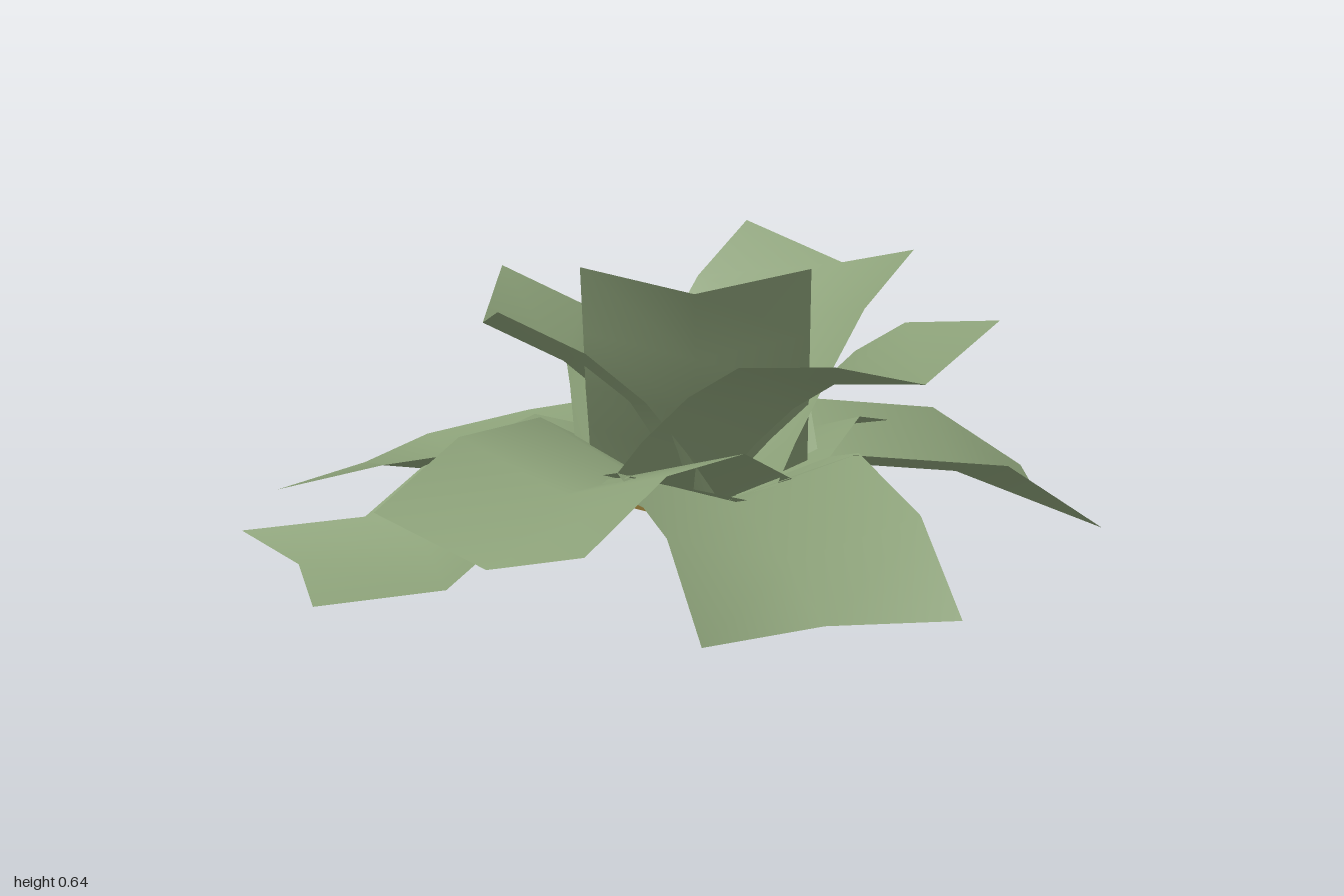
import * as THREE from 'three';

const leafGreen = new THREE.MeshStandardMaterial({ name: 'leafGreen', color: 0x8ba078, side: THREE.DoubleSide });
const stemBrown = new THREE.MeshStandardMaterial({ name: 'stemBrown', color: 0x80692f, side: THREE.DoubleSide });
const budYellow = new THREE.MeshStandardMaterial({ name: 'budYellow', color: 0xa89a58 });

const FOLD = 0.09; // how deep the rib lies below the leaf edges
const HALF_WIDTH = 0.28;
const GROUND = 0.006;

// Shared starts of the edge curves, as (distance from stem, height)
const BASE = [-0.04, 0.11];
const LOW = [BASE, [0.29, 0.21]];
const UPRIGHT = [BASE, [0.04, 0.23], [0.13, 0.345]];

// Builds one leaf: a strip swept along its edge curve, folded along the rib
function makeLeaf(name, degrees, half, path) {
  const geometry = new THREE.PlaneGeometry(1, 1, 2, path.length - 1);
  const pos = geometry.attributes.position;
  path.forEach(([r, y], row) => {
    const before = path[Math.max(row - 1, 0)];
    const after = path[Math.min(row + 1, path.length - 1)];
    const slope = Math.atan2(after[1] - before[1], after[0] - before[0]);
    pos.setXYZ(row * 3, -half, y, r);
    pos.setXYZ(row * 3 + 1, 0, y - FOLD * Math.cos(slope), r + FOLD * Math.sin(slope));
    pos.setXYZ(row * 3 + 2, half, y, r);
  });
  geometry.computeVertexNormals();
  // parts that would sink into the ground lie flat on it
  for (let i = 0; i < pos.count; i++) pos.setY(i, Math.max(pos.getY(i), GROUND));
  const leaf = new THREE.Mesh(geometry, leafGreen);
  leaf.name = name;
  leaf.rotation.y = THREE.MathUtils.degToRad(degrees);
  return leaf;
}

// Narrow root strip whose ends bend slightly upward
function makeRoot(angle) {
  const geometry = new THREE.PlaneGeometry(0.42, 0.06, 4, 1).rotateX(-Math.PI / 2);
  const pos = geometry.attributes.position;
  for (let i = 0; i < pos.count; i++) {
    pos.setY(i, 0.004 + Math.max(0, Math.abs(pos.getX(i)) - 0.03) * 0.22);
  }
  geometry.computeVertexNormals();
  const root = new THREE.Mesh(geometry, stemBrown);
  root.name = 'rootStrip';
  root.rotation.y = angle;
  return root;
}

export function createModel() {
  const model = new THREE.Group();
  model.name = 'leafyPlant';
  const plant = new THREE.Group();
  plant.name = 'rosette';
  plant.position.set(0.07, 0, -0.015);
  model.add(plant);

  // spreading lower ring
  const drooping = [...LOW, [0.65, 0.165], [0.88, 0]];
  plant.add(makeLeaf('lowerBackRightLeaf', 138, HALF_WIDTH, drooping));
  plant.add(makeLeaf('lowerFrontRightLeaf', 53.4, HALF_WIDTH, drooping));
  plant.add(makeLeaf('lowerFrontLeftLeaf', -31.3, 0.3, [...LOW, [0.57, 0.11], [0.71, 0], [1.0, -0.2]]));
  plant.add(makeLeaf('lowerLeftLeaf', -84.5, 0.31, [...LOW, [0.67, 0.11], [0.985, 0]]));
  plant.add(makeLeaf('lowerBackLeaf', -170, HALF_WIDTH, [...LOW, [0.62, 0.12], [0.8, 0], [0.95, -0.1]]));

  // middle ring
  plant.add(makeLeaf('middleFrontLeaf', 0.6, HALF_WIDTH, [BASE, [0.23, 0.25], [0.52, 0.265], [0.805, 0.16]]));
  plant.add(makeLeaf('middleBackLeftLeaf', -137.5, HALF_WIDTH, [BASE, [0.19, 0.28], [0.44, 0.365], [0.69, 0.33]]));
  plant.add(makeLeaf('middleRightLeaf', 85.4, 0.3, [BASE, [0.09, 0.26], [0.22, 0.38], [0.36, 0.467], [0.615, 0.507]]));

  // upright inner ring
  plant.add(makeLeaf('innerBackLeaf', 169.6, 0.27, [...UPRIGHT, [0.26, 0.5], [0.425, 0.615]]));
  plant.add(makeLeaf('innerFrontLeftLeaf', -51.7, 0.267, [...UPRIGHT, [0.26, 0.455], [0.45, 0.55]]));
  plant.add(makeLeaf('innerFrontRightLeaf', 33.7, 0.25, [...UPRIGHT, [0.19, 0.48], [0.275, 0.645]]));

  // crossed roots under the stem
  for (const angle of [-0.87, 0.5]) plant.add(makeRoot(angle));

  const bud = new THREE.Mesh(new THREE.CylinderGeometry(0.01, 0.014, 0.036, 6), budYellow);
  bud.name = 'stemBud';
  bud.position.y = 0.018;
  plant.add(bud);
  return model;
}
